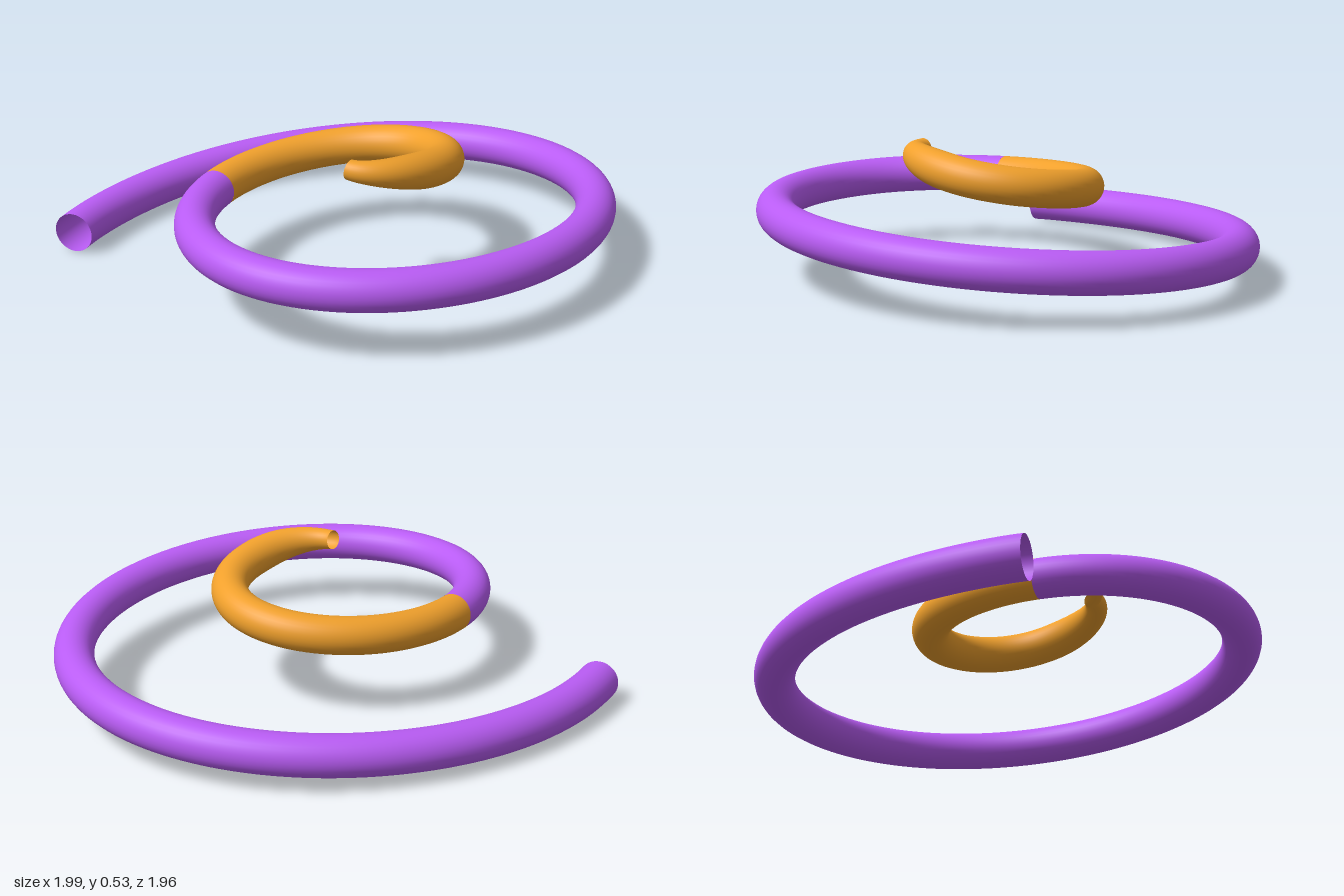
import * as THREE from 'three';

// Path keys: turns around the coil and height of the centre line
const rise = [
  [-0.087, 0.083], [0, 0.1], [0.25, 0.182], [0.5, 0.255], [0.75, 0.287],
  [1, 0.32], [1.25, 0.39], [1.5, 0.468], [1.657, 0.49],
];
const heightCurve = new THREE.SplineCurve(rise.map(([t, y]) => new THREE.Vector2(t, y)));

// Height at a given turn, found by bisection along the key curve
function heightAt(turn) {
  let lo = 0, hi = 1;
  for (let i = 0; i < 30; i++) {
    const mid = (lo + hi) / 2;
    if (heightCurve.getPoint(mid).x < turn) lo = mid;
    else hi = mid;
  }
  return heightCurve.getPoint((lo + hi) / 2).y;
}

// Tube thickness: nearly constant, narrowing at the inner tip
function thicknessAt(turn) {
  const body = 0.08 - 0.005 * Math.max(turn, 0);
  return THREE.MathUtils.lerp(body, 0.038, THREE.MathUtils.smoothstep(turn, 1.42, 1.68));
}

// Elliptical inward spiral that climbs as it winds
class CoilCurve extends THREE.Curve {
  constructor(from, to) {
    super();
    this.from = from;
    this.to = to;
  }
  turnAt(u) {
    return THREE.MathUtils.lerp(this.from, this.to, u);
  }
  getPoint(u, target = new THREE.Vector3()) {
    const turn = this.turnAt(u);
    const angle = turn * Math.PI * 2;
    const r = 1.225 - 0.6525 * turn + 0.055 * THREE.MathUtils.smoothstep(turn, 1.4, 1.69);
    return target.set(
      0.137 - 0.86 * r * Math.cos(angle),
      heightAt(turn),
      0.162 - r * Math.sin(angle),
    );
  }
}

// Open tube along one stretch of the coil, with varying thickness
function coilPart(name, from, to, segments, color) {
  const curve = new CoilCurve(from, to);
  const sides = 32;
  const geometry = new THREE.TubeGeometry(curve, segments, 1, sides, false);
  const pos = geometry.attributes.position;
  const v = new THREE.Vector3();
  for (let i = 0; i <= segments; i++) {
    const centre = curve.getPointAt(i / segments);
    const thickness = thicknessAt(curve.turnAt(curve.getUtoTmapping(i / segments)));
    for (let j = 0; j <= sides; j++) {
      const k = i * (sides + 1) + j;
      v.fromBufferAttribute(pos, k).sub(centre).multiplyScalar(thickness).add(centre);
      pos.setXYZ(k, v.x, v.y, v.z);
    }
  }
  const material = new THREE.MeshStandardMaterial({ color, side: THREE.DoubleSide });
  const mesh = new THREE.Mesh(geometry, material);
  mesh.name = name;
  return mesh;
}

export function createModel() {
  const group = new THREE.Group();
  group.name = 'spiralCoil';
  group.add(
    coilPart('outerCoil', -0.087, 0.913, 160, 0xb95cf4),
    coilPart('innerCoil', 0.913, 1.657, 100, 0xf0a02c),
  );
  return group;
}
